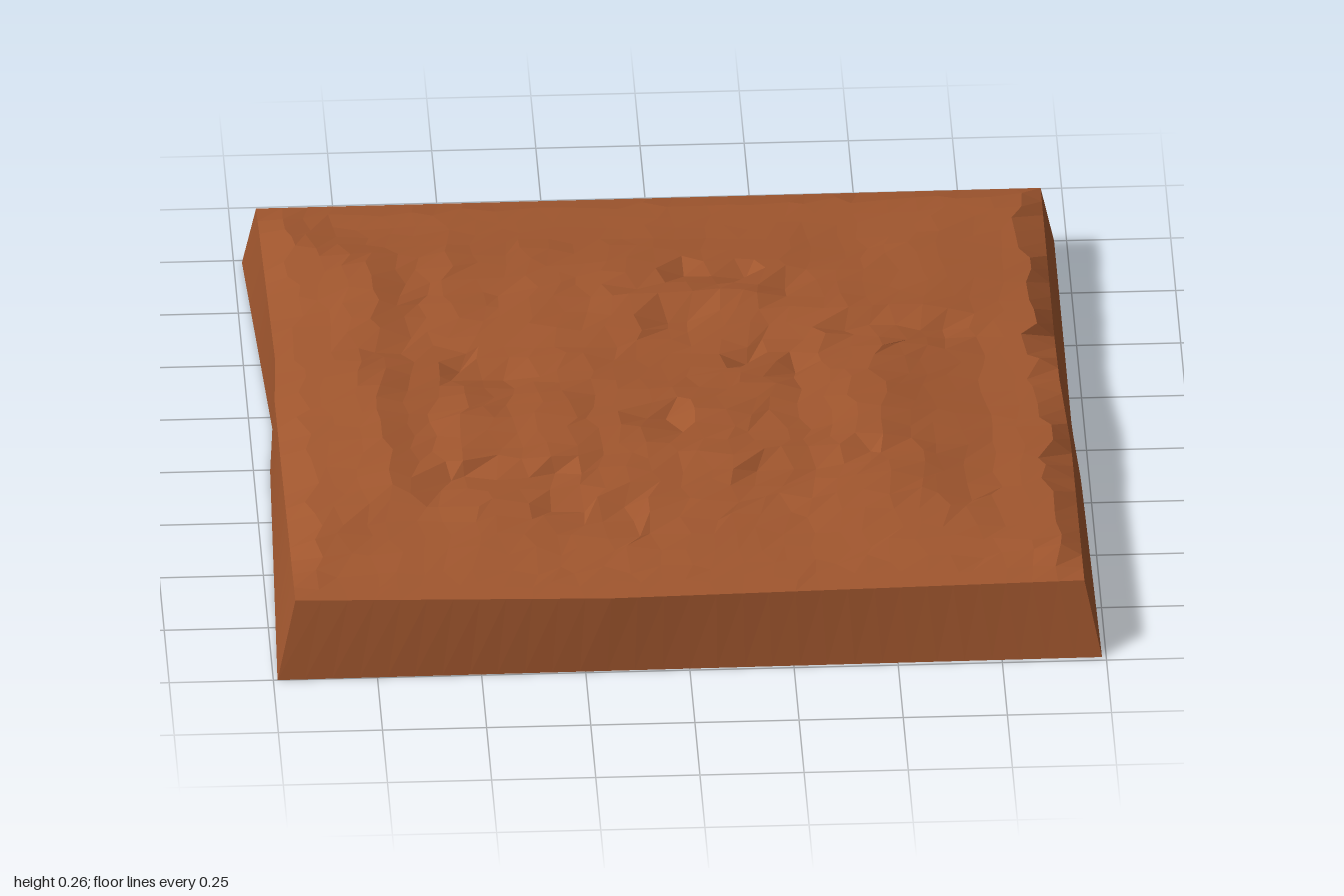
import * as THREE from 'three';

// Piecewise-linear lookup in a short list of [position, value] pairs
function sample(table, t) {
  if (t <= table[0][0]) return table[0][1];
  for (let i = 1; i < table.length; i++) {
    const [a, va] = table[i - 1], [b, vb] = table[i];
    if (t <= b) return va + (vb - va) * (t - a) / (b - a);
  }
  return table[table.length - 1][1];
}

// Outlines seen from above: left/right give x along z, back/front give z along x
const rim = {
  left: [[-1, -0.95], [-0.2, -0.94], [0, -0.95], [1, -0.945]],
  right: [[-1, 0.935], [0, 0.935], [0.3, 0.95], [1, 0.95]],
  back: [[-1, -0.91], [1, -0.945]],
  front: [[-1, 0.955], [-0.2, 0.975], [1, 0.935]],
};
const base = {
  left: [[-1, -0.98], [-0.2, -0.945], [0, -0.96], [1, -0.99]],
  right: [[-1, 0.97], [-0.1, 0.97], [0.15, 0.98], [1, 0.99]],
  back: [[-1, -0.99], [-0.6, -0.97], [1, -1]],
  front: [[-1, 1], [1, 0.985]],
};

// Height limits of the ground across x and z, and of the rim along z
const ridgeX = [[-0.95, 0.2], [-0.9, 0.225], [-0.8, 0.245], [-0.7, 0.27], [-0.6, 0.255], [-0.5, 0.272],
  [-0.4, 0.268], [-0.27, 0.285], [-0.2, 0.27], [0, 0.278], [0.1, 0.292], [0.25, 0.28], [0.33, 0.265],
  [0.45, 0.272], [0.6, 0.252], [0.75, 0.225], [0.9, 0.213], [0.95, 0.185]];
const ridgeZ = [[-0.93, 0.19], [-0.88, 0.207], [-0.7, 0.235], [-0.6, 0.257], [-0.4, 0.282], [-0.25, 0.262],
  [-0.15, 0.25], [0, 0.268], [0.2, 0.292], [0.3, 0.27], [0.4, 0.282], [0.6, 0.252], [0.65, 0.237],
  [0.75, 0.225], [0.85, 0.2], [0.95, 0.192]];
const rimRight = [[-0.94, 0.18], [-0.27, 0.167], [0, 0.198], [0.3, 0.172], [0.94, 0.185]];
const rimLeft = [[-0.94, 0.195], [-0.2, 0.21], [0.3, 0.195], [0.95, 0.193]];

// Small ledges: x1, z1, x2, z2, drop on the front side
const ledges = [
  [-0.6, 0.43, -0.28, 0.42, 0.03], [0.15, 0.41, 0.55, 0.35, 0.03], [0.13, -0.53, 0.38, -0.42, 0.03],
  [-0.07, -0.47, 0.15, -0.52, 0.025], [0.4, -0.24, 0.68, -0.28, 0.025], [-0.04, -0.31, 0.1, -0.33, 0.03],
  [-0.1, 0.13, 0.02, 0.22, 0.03], [-0.33, 0.57, -0.08, 0.6, 0.02], [-0.55, -0.1, -0.33, -0.05, 0.02],
  [0.18, -0.1, 0.36, -0.01, 0.025],
];

function hash(i, j, k = 0) {
  const s = Math.sin(i * 127.1 + j * 311.7 + k * 74.7) * 43758.5453;
  return s - Math.floor(s);
}

function noise(x, z) {
  const i = Math.floor(x), j = Math.floor(z), lerp = THREE.MathUtils.lerp;
  return lerp(lerp(hash(i, j), hash(i + 1, j), x - i), lerp(hash(i, j + 1), hash(i + 1, j + 1), x - i), z - j);
}

function outlinePoint(o, u, v) {
  const x = u * 2 - 1, z = v * 2 - 1;
  return [THREE.MathUtils.lerp(sample(o.left, z), sample(o.right, z), u),
    THREE.MathUtils.lerp(sample(o.back, x), sample(o.front, x), v)];
}

function rimHeight(u, z) {
  return THREE.MathUtils.lerp(sample(rimLeft, z), sample(rimRight, z), u);
}

function groundHeight(x, z) {
  const limit = Math.min(sample(ridgeX, x), sample(ridgeZ, z));
  const inside = THREE.MathUtils.clamp((0.95 - Math.max(Math.abs(x), Math.abs(z))) / 0.35, 0, 1);
  let y = limit - inside * (0.035 * noise(x * 4 + 20, z * 5 + 20) + 0.012 * noise(x * 10 + 50, z * 10 + 50));
  for (const [x1, z1, x2, z2, drop] of ledges) {
    const t = (x - x1) / (x2 - x1);
    if (t < 0 || t > 1) continue;
    const d = z - (z1 + (z2 - z1) * t);
    if (d > 0 && d < 0.14) y -= drop * (1 - d / 0.14);
  }
  return Math.max(y, 0.185);
}

const N = 30;

// Uneven ground: a jittered grid ending on the rim
function groundGeometry() {
  const geo = new THREE.PlaneGeometry(1, 1, N, N);
  const pos = geo.attributes.position;
  for (let j = 0; j <= N; j++) for (let i = 0; i <= N; i++) {
    const edge = i === 0 || j === 0 || i === N || j === N;
    const u = (i + (edge ? 0 : (hash(i, j, 1) - 0.5) * 0.7)) / N;
    const v = (j + (edge ? 0 : (hash(i, j, 2) - 0.5) * 0.7)) / N;
    const [x, z] = outlinePoint(rim, u, v);
    pos.setXYZ(j * (N + 1) + i, x, edge ? rimHeight(u, z) : groundHeight(x, z), z);
  }
  geo.computeVertexNormals();
  return geo;
}

// Sloping wall from the rim down to the open base
function skirtGeometry() {
  const corners = [[0, 0], [0, 1], [1, 1], [1, 0], [0, 0]];
  const points = [], index = [];
  for (let s = 0; s < 4; s++) for (let i = 0; i <= N; i++) {
    const t = i / N, [a, b] = corners[s], [c, d] = corners[s + 1];
    const u = a + (c - a) * t, v = b + (d - b) * t;
    const [x, z] = outlinePoint(rim, u, v), [bx, bz] = outlinePoint(base, u, v);
    const k = points.length / 3;
    points.push(x, rimHeight(u, z), z, bx, 0, bz);
    if (i < N) index.push(k, k + 1, k + 2, k + 2, k + 1, k + 3);
  }
  const geo = new THREE.BufferGeometry();
  geo.setAttribute('position', new THREE.Float32BufferAttribute(points, 3));
  geo.setIndex(index);
  geo.computeVertexNormals();
  return geo;
}

export function createModel() {
  const group = new THREE.Group();
  group.name = 'groundTile';
  const earth = new THREE.MeshStandardMaterial({ color: 0xa0562e, flatShading: true, side: THREE.DoubleSide });
  const parts = { groundSurface: groundGeometry(), sideSkirt: skirtGeometry() };
  for (const [name, geometry] of Object.entries(parts)) {
    const mesh = new THREE.Mesh(geometry, earth);
    mesh.name = name;
    group.add(mesh);
  }
  return group;
}
